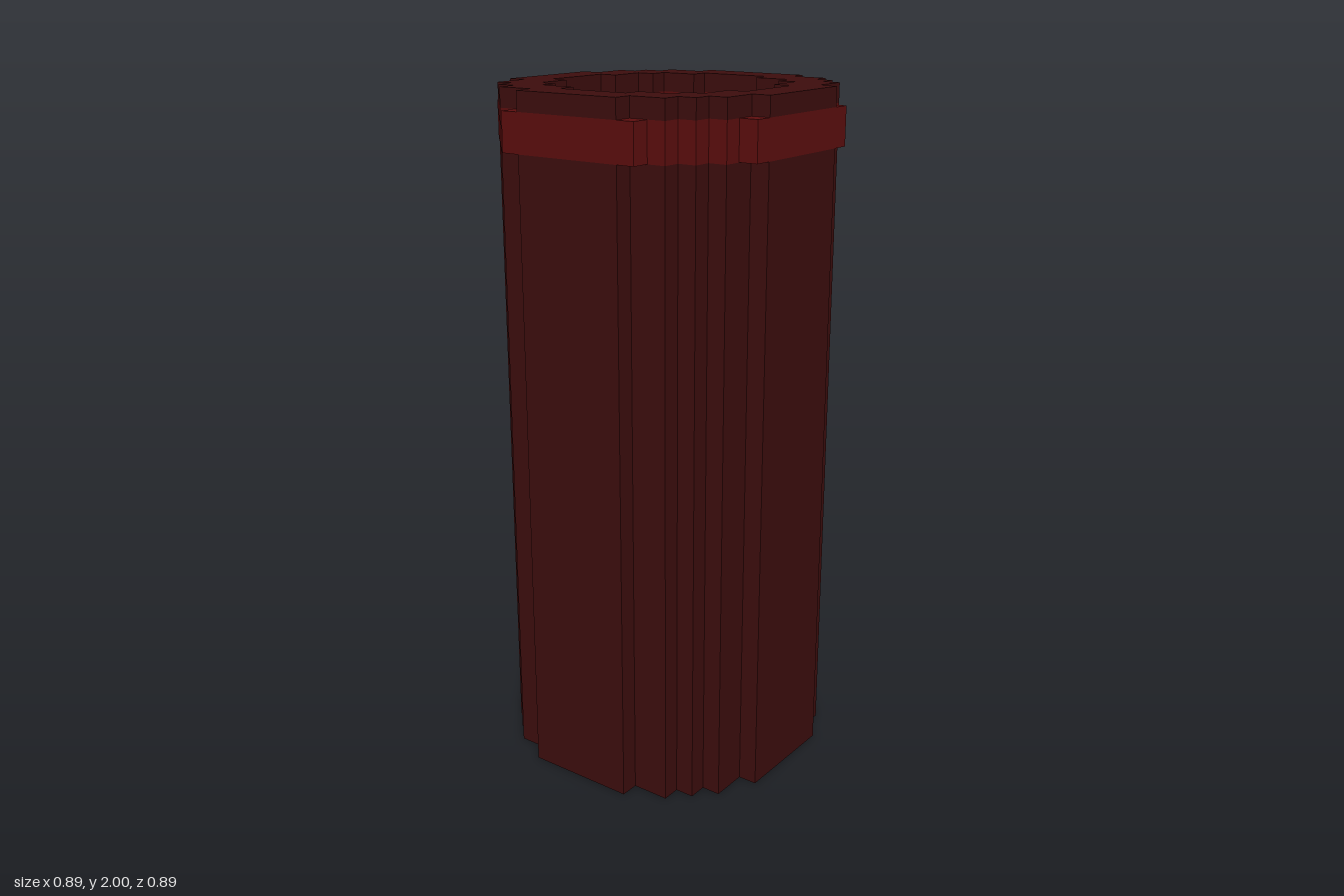
import * as THREE from 'three';

const U = 2 / 36; // one block

// Stepped ring outline: rows are [top of row, half width], mirrored to four quadrants
function steppedOutline(rows) {
  const q = [];
  let from = 0;
  for (const [to, w] of rows) {
    if (from > 0) q.push([w, from]);
    q.push([w, to]);
    from = to;
  }
  const r = [...q].reverse();
  return [
    ...q,
    ...r.map(([x, y]) => [-x, y]),
    ...q.map(([x, y]) => [-x, -y]),
    ...r.map(([x, y]) => [x, -y]),
  ].map(([x, y]) => new THREE.Vector2(x * U, y * U));
}

const BODY = [[3, 8], [5, 7], [6, 6], [7, 5], [8, 3]];
const BAND = [[4, 8], [5, 7], [6, 6], [7, 5], [8, 4]];
const BORE = [[3, 6], [4, 5], [5, 4], [6, 3]];

export function createModel() {
  const group = new THREE.Group();
  const darkRed = new THREE.MeshStandardMaterial({ color: 0x3d0d0d });
  darkRed.name = 'dark red';
  const brightRed = new THREE.MeshStandardMaterial({ color: 0x5d0e0e });
  brightRed.name = 'band red';

  // Hollow stepped ring between two heights (in blocks)
  function ring(name, rows, y0, y1, material) {
    const shape = new THREE.Shape(steppedOutline(rows));
    shape.holes.push(new THREE.Path(steppedOutline(BORE)));
    const geo = new THREE.ExtrudeGeometry(shape, { depth: (y1 - y0) * U, bevelEnabled: false });
    geo.rotateX(-Math.PI / 2);
    const mesh = new THREE.Mesh(geo, material);
    mesh.name = name;
    mesh.position.y = y0 * U;
    group.add(mesh);
  }

  ring('tubeBody', BODY, 0, 33, darkRed);
  ring('colourBand', BAND, 33, 35, brightRed);
  ring('topRim', BODY, 35, 36, darkRed);

  // Ribs along the inside corners, starting above the bottom opening
  const ribs = new THREE.Group();
  ribs.name = 'innerRibs';
  const ribGeo = new THREE.BoxGeometry(U, 33 * U, U);
  for (const sx of [-1, 1]) for (const sz of [-1, 1]) {
    for (const [x, z] of [[2.5, 5.5], [5.5, 2.5]]) {
      const rib = new THREE.Mesh(ribGeo, darkRed);
      rib.name = 'innerRib';
      rib.position.set(sx * x * U, 19.5 * U, sz * z * U);
      ribs.add(rib);
    }
  }
  group.add(ribs);
  return group;
}
